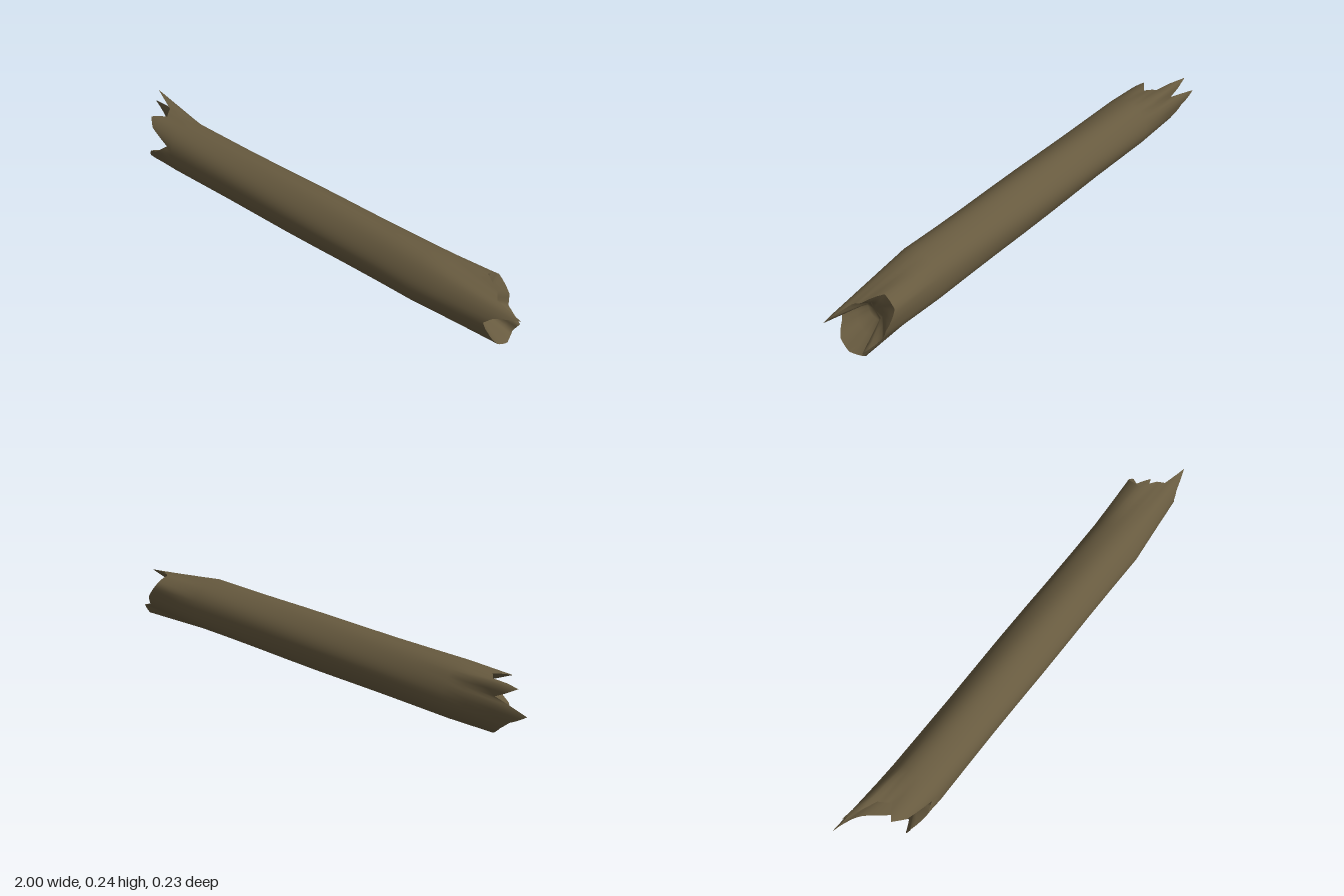
import * as THREE from 'three';

const SEG = 48;
const wood = new THREE.MeshStandardMaterial({ color: 0x675a3f });
wood.name = 'dull brown bark';

// Broken rims: [angle in degrees (0 front, 90 top, 180 back), tip x, tip radius]
const LEFT = [
  [0, -0.74, 0.108], [22.5, -0.69, 0.105], [45, -0.8, 0.105], [67.5, -0.845, 0.105],
  [90, -0.79, 0.1], [112.5, -0.82, 0.115], [127.5, -0.95, 0.16], [142.5, -0.86, 0.115],
  [157.5, -1, 0.125], [180, -0.93, 0.105], [202.5, -0.89, 0.1], [225, -0.86, 0.1],
  [247.5, -0.83, 0.105], [270, -0.79, 0.11], [292.5, -0.78, 0.115], [315, -0.83, 0.105],
  [337.5, -0.81, 0.095],
];
const RIGHT = [
  [0, 0.88, 0.078], [22.5, 0.91, 0.072], [52.5, 1, 0.062], [75, 0.89, 0.068],
  [97.5, 0.87, 0.075], [120, 0.8, 0.105], [150, 0.81, 0.125], [180, 0.86, 0.11],
  [202.5, 0.87, 0.105], [225, 0.94, 0.1], [240, 0.92, 0.122], [270, 0.94, 0.108],
  [300, 0.93, 0.1], [330, 0.9, 0.082],
];

// Interpolated rim values around the trunk
function rim(table, deg) {
  const loop = [...table, [360, table[0][1], table[0][2]]];
  const k = loop.findIndex((p, i) => i < loop.length - 1 && deg < loop[i + 1][0]);
  const [a, b] = [loop[k], loop[k + 1]];
  const t = (deg - a[0]) / (b[0] - a[0]);
  return { x: a[1] + (b[1] - a[1]) * t, r: a[2] + (b[2] - a[2]) * t };
}

// Trunk drifts a little towards the back on the right end
const point = (x, r, deg) => {
  const a = THREE.MathUtils.degToRad(deg);
  return [x, 0.12 + r * Math.sin(a), -0.003 - 0.008 * x + r * Math.cos(a)];
};
const barkRadius = (x, deg) =>
  0.108 + 0.0015 * Math.sin(deg * Math.PI / 36 + x * 3) + 0.001 * Math.cos(x * 9);

// Skin a run of rings, ordered from -x to +x for outward faces
function skin(name, rings) {
  const pos = [], index = [];
  for (const ring of rings)
    for (let i = 0; i < SEG; i++) pos.push(...ring(i * 360 / SEG));
  for (let j = 0; j < rings.length - 1; j++)
    for (let i = 0; i < SEG; i++) {
      const a = j * SEG + i, c = j * SEG + (i + 1) % SEG;
      index.push(a, a + SEG, c, c, a + SEG, c + SEG);
    }
  const geo = new THREE.BufferGeometry();
  geo.setAttribute('position', new THREE.Float32BufferAttribute(pos, 3));
  geo.setIndex(index);
  geo.computeVertexNormals();
  const mesh = new THREE.Mesh(geo, wood);
  mesh.name = name;
  return mesh;
}

// Ring between the sound trunk at x0 and the torn rim
const tornRing = (table, x0, t) => deg => {
  const e = rim(table, deg);
  const r0 = barkRadius(x0, deg);
  return point(x0 + (e.x - x0) * t, r0 + (e.r - r0) * t, deg);
};

// Ring of the hollow break, from the rim (t = 0) to its centre (t = 1)
const breakRing = (table, core, t) => deg => {
  const e = rim(table, deg);
  return point(e.x + (core - e.x) * Math.min(1, t * 1.7), e.r * (1 - t), deg);
};

export function createModel() {
  const log = new THREE.Group();
  log.name = 'brokenLog';

  // Bark with torn ends
  const body = [];
  for (let i = 0; i <= 8; i++) {
    const x = -0.66 + i * 0.155;
    body.push(deg => point(x, barkRadius(x, deg), deg));
  }
  log.add(skin('bark', [
    ...[1, 0.66, 0.33].map(t => tornRing(LEFT, -0.66, t)),
    ...body,
    ...[0.33, 0.66, 1].map(t => tornRing(RIGHT, 0.58, t)),
  ]));

  // Hollow splintered breaks
  const steps = [0, 0.15, 0.35, 0.6, 0.999];
  log.add(skin('leftBreak', [...steps].reverse().map(t => breakRing(LEFT, -0.72, t))));
  log.add(skin('rightBreak', steps.map(t => breakRing(RIGHT, 0.81, t))));

  return log;
}
